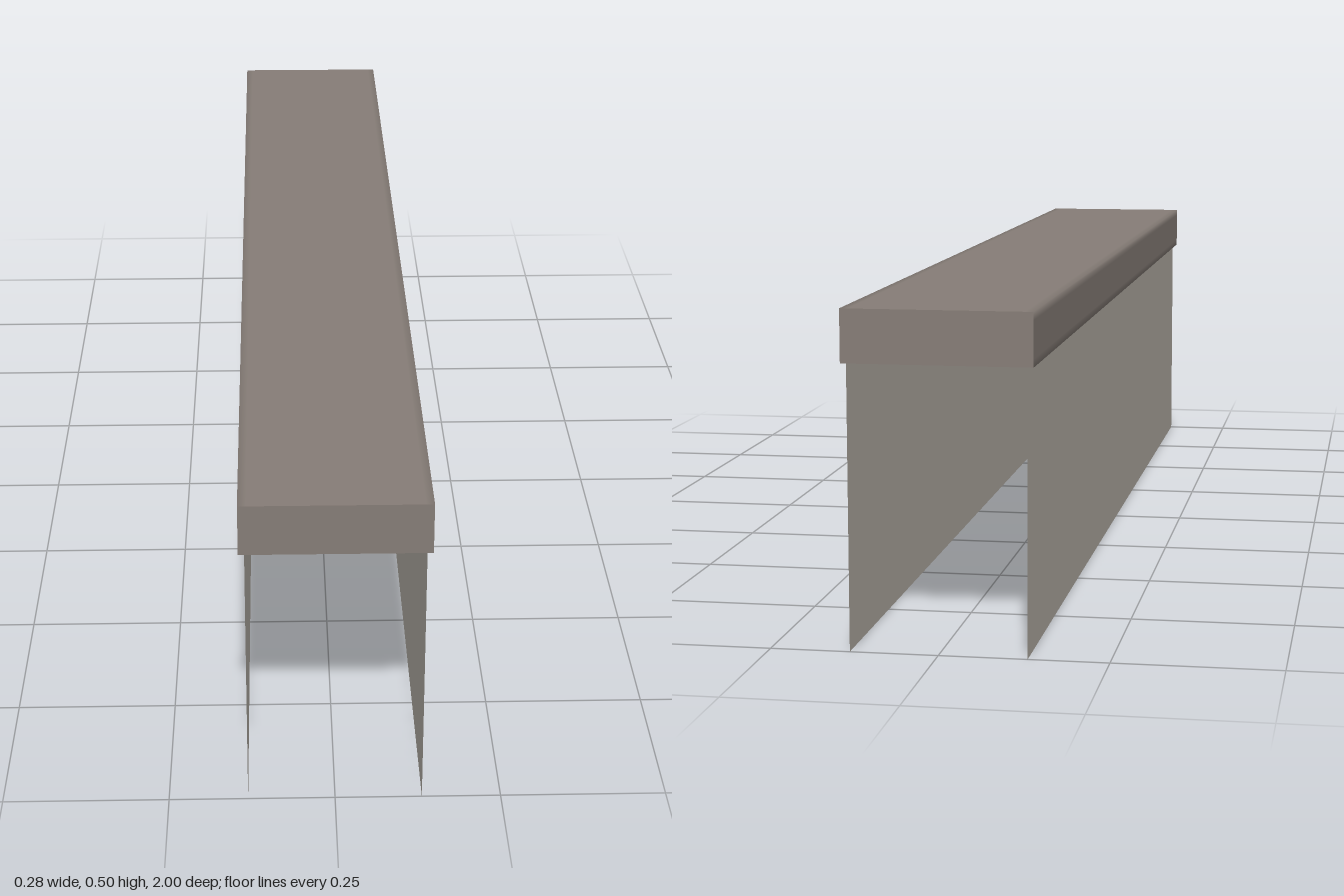
import * as THREE from 'three';

const W = 0.14, Y0 = 0.423, Y1 = 0.502, L = 1, WALL_X = 0.131, EDGE = 0.012;

// Long cap surface: rectangular section whose corners carry softened normals
function capSkin() {
  const pos = [], nor = [], index = [];
  const d = Math.SQRT1_2;
  const corners = [[-1, -1], [1, -1], [1, 1], [-1, 1]];
  const flat = [[0, -1], [1, 0], [0, 1], [-1, 0]];
  const at = ([sx, sy]) => [sx * W, sy > 0 ? Y1 : Y0];
  const ring = [];
  corners.forEach((c, i) => {
    const n = flat[i], [ax, ay] = at(c), [bx, by] = at(corners[(i + 1) % 4]);
    const t = EDGE / Math.hypot(bx - ax, by - ay);
    ring.push([ax, ay, c[0] * d, c[1] * d]);
    for (const k of [t, 1 - t]) ring.push([ax + (bx - ax) * k, ay + (by - ay) * k, ...n]);
  });
  for (const [x, y, nx, ny] of ring) {
    for (const z of [L, -L]) {
      pos.push(x, y, z);
      nor.push(nx, ny, 0);
    }
  }
  for (let i = 0; i < ring.length; i++) {
    const a = i * 2, b = ((i + 1) % ring.length) * 2;
    index.push(a, a + 1, b, b, a + 1, b + 1);
  }
  const g = new THREE.BufferGeometry();
  g.setAttribute('position', new THREE.Float32BufferAttribute(pos, 3));
  g.setAttribute('normal', new THREE.Float32BufferAttribute(nor, 3));
  g.setIndex(index);
  return g;
}

export function createModel() {
  const model = new THREE.Group();
  model.name = 'cappedWall';

  const capMat = new THREE.MeshStandardMaterial({ color: 0x857c76, side: THREE.DoubleSide });
  capMat.name = 'warm grey';
  const wallMat = new THREE.MeshStandardMaterial({ color: 0xb0aba2, side: THREE.DoubleSide });
  wallMat.name = 'pale stone';

  const add = (name, geometry, material, x, y, z, ry = 0) => {
    const mesh = new THREE.Mesh(geometry, material);
    mesh.name = name;
    mesh.position.set(x, y, z);
    mesh.rotation.y = ry;
    model.add(mesh);
  };

  // Cap with flat ends
  add('cap', capSkin(), capMat, 0, 0, 0);
  const end = new THREE.PlaneGeometry(2 * W, Y1 - Y0);
  add('capFrontEnd', end, capMat, 0, (Y0 + Y1) / 2, L);
  add('capBackEnd', end, capMat, 0, (Y0 + Y1) / 2, -L, Math.PI);

  // Thin side walls
  const wall = new THREE.PlaneGeometry(2 * L, Y0);
  add('leftWall', wall, wallMat, WALL_X, Y0 / 2, 0, Math.PI / 2);
  add('rightWall', wall, wallMat, -WALL_X, Y0 / 2, 0, -Math.PI / 2);

  // Upright strips on one wall
  const strip = new THREE.PlaneGeometry(0.04, Y0);
  for (const z of [0.817, -0.325]) {
    add('wallStrip', strip, capMat, WALL_X + 0.0015, Y0 / 2, z, Math.PI / 2);
  }
  return model;
}
